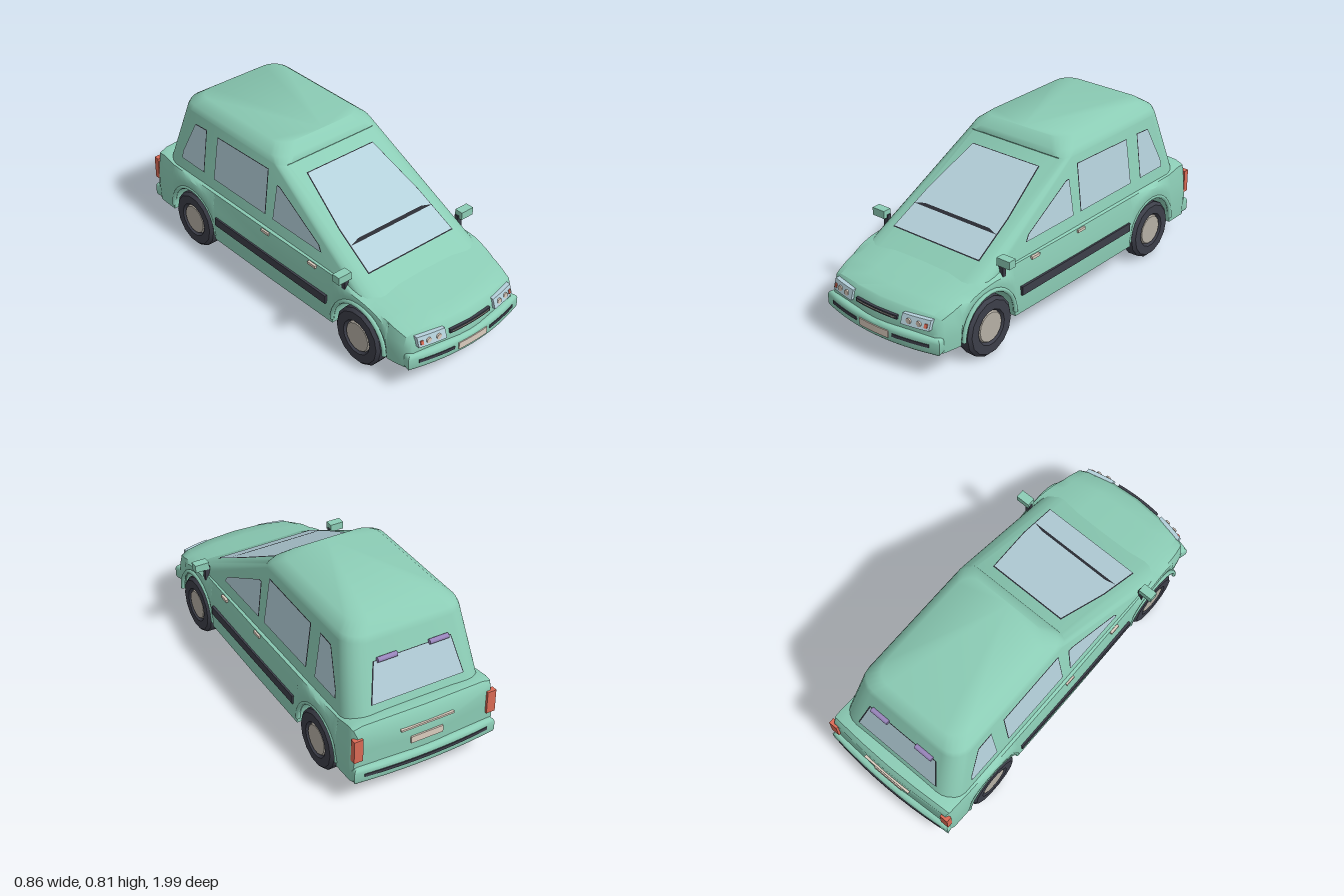
import * as THREE from 'three';
import { toCreasedNormals } from 'three/addons/utils/BufferGeometryUtils.js';

const mat = (name, color, side = THREE.FrontSide) => {
  const m = new THREE.MeshStandardMaterial({ color, side });
  m.name = name;
  return m;
};

// Piecewise linear lookup in a list of [key, value], keys ascending
function lookup(table, k) {
  if (k <= table[0][0]) return table[0][1];
  for (let i = 1; i < table.length; i++) {
    const [a, va] = table[i - 1], [b, vb] = table[i];
    if (k <= b) return va + (vb - va) * (k - a) / (b - a);
  }
  return table[table.length - 1][1];
}

// Skin closed rings of [x, y, z] points and cap both ends
function loft(rings, crease) {
  const n = rings[0].length, pos = rings.flat(2), idx = [];
  for (let i = 0; i < rings.length - 1; i++) {
    for (let j = 0; j < n; j++) {
      const a = i * n + j, b = i * n + (j + 1) % n;
      idx.push(a, b, b + n, a, b + n, a + n);
    }
  }
  [0, rings.length - 1].forEach((r, end) => {
    const c = pos.length / 3;
    for (let k = 0; k < 3; k++) {
      const v = rings[r].map(p => p[k]);
      pos.push((Math.min(...v) + Math.max(...v)) / 2);
    }
    // keep the cap centre level with the middle of a bowed end
    if (rings[r].every(p => p[2] > 0) || rings[r].every(p => p[2] < 0)) pos[c * 3 + 2] = rings[r][0][2];
    for (let j = 0; j < n; j++) {
      const a = r * n + j, b = r * n + (j + 1) % n;
      if (end) idx.push(c, a, b); else idx.push(c, b, a);
    }
  });
  const g = new THREE.BufferGeometry();
  g.setAttribute('position', new THREE.Float32BufferAttribute(pos, 3));
  g.setIndex(idx);
  return toCreasedNormals(g, crease);
}

const FRONT_BOW = 0.05, REAR_BOW = 0.015, WHEEL_Z = [0.62, -0.63], ARCH = 0.175;
const bow = (x, z) => {
  const t = THREE.MathUtils.clamp((Math.abs(z) - 0.8) / 0.15, 0, 1) * (x / 0.33) ** 2;
  return z > 0 ? z - FRONT_BOW * t : z + REAR_BOW * t;
};

// Lower body: sections along z, with the underside rising over the wheels
function bodyGeometry() {
  const width = [[-0.965, 0.37], [-0.94, 0.382], [-0.6, 0.388], [0, 0.388], [0.45, 0.383], [0.62, 0.378], [0.85, 0.36], [0.94, 0.348], [0.97, 0.325]];
  const top = [[-0.965, 0.395], [-0.945, 0.425], [-0.9, 0.428], [-0.8, 0.412], [0.5, 0.408], [0.62, 0.383], [0.935, 0.308], [0.96, 0.28], [0.97, 0.24]];
  const stations = [...new Set([...width, ...top].map(p => p[0]))]
    .filter(z => WHEEL_Z.every(c => Math.abs(z - c) > ARCH)).map(z => [z, 0.125]);
  for (const c of WHEEL_Z) {
    stations.push([c - ARCH - 0.002, 0.125], [c + ARCH + 0.002, 0.125]);
    for (let i = 0; i <= 12; i++) {
      const a = Math.PI * i / 12;
      stations.push([c + ARCH * Math.cos(a), 0.15 + ARCH * Math.sin(a)]);
    }
  }
  stations.sort((a, b) => a[0] - b[0]);
  return loft(stations.map(([z, yb]) => {
    const w = lookup(width, z), t = lookup(top, z), mix = f => yb + (t - yb) * f;
    const half = [[0, yb], [0.5 * w, yb], [0.985 * w, yb], [w, mix(0.35)], [0.99 * w, mix(0.65)],
      [0.955 * w, t - 0.018], [0.84 * w, t - 0.004], [0.45 * w, t + 0.003], [0, t + 0.004]];
    const other = half.slice(1, -1).reverse().map(([x, y]) => [-x, y]);
    return [...half, ...other].map(([x, y]) => [x, y, bow(x, z)]);
  }), 0.65);
}

// Cabin planes
const sideX = y => 0.355 - (y - 0.4) * 0.132;
const shieldZ = y => 0.62 - (y - 0.4) * 1.823;
const tailZ = y => -0.9 + (y - 0.4) * 0.324;

// Cabin and raised roof: rounded rectangles stacked upwards
function cabinGeometry() {
  const levels = [ // y, front z, rear z, half width, front radius, rear radius
    [0.35, shieldZ(0.35), tailZ(0.35), sideX(0.35), 0.1, 0.1],
    [0.74, shieldZ(0.74), tailZ(0.74), sideX(0.74), 0.05, 0.09],
    [0.745, 0.003, -0.788, 0.309, 0.06, 0.09],
    [0.772, -0.012, -0.777, 0.299, 0.08, 0.09],
    [0.812, -0.06, -0.72, 0.25, 0.08, 0.08]];
  return loft(levels.map(([y, zf, zr, w, rf, rr]) => {
    const ring = [];
    [[1, 1], [1, -1], [-1, -1], [-1, 1]].forEach(([sx, sz], q) => {
      const r = sz > 0 ? rf : rr, cz = sz > 0 ? zf - r : zr + r;
      for (let i = 0; i <= 5; i++) {
        const a = (q + i / 5) * Math.PI / 2;
        ring.push([sx * (w - r) + r * Math.sin(a), y, cz + r * Math.cos(a)]);
      }
    });
    return ring;
  }), 0.8);
}

// Flat polygon laid on a slanted plane through a mapping of (u, v)
function panel(points, map, scale, lift) {
  const cu = points.reduce((s, p) => s + p[0], 0) / points.length;
  const cv = points.reduce((s, p) => s + p[1], 0) / points.length;
  const g = new THREE.ShapeGeometry(new THREE.Shape(points.map(([u, v]) =>
    new THREE.Vector2(cu + (u - cu) * scale, cv + (v - cv) * scale))));
  const p = g.attributes.position;
  for (let i = 0; i < p.count; i++) p.setXYZ(i, ...map(p.getX(i), p.getY(i), lift));
  g.computeVertexNormals();
  return g;
}

// Box that follows the curve of a bumper or nose and may lean back
function bowedBox(w, h, d, x, y, z, amount, lean = 0) {
  const g = new THREE.BoxGeometry(w, h, d, 8, 1, 1).translate(x, y, z);
  const p = g.attributes.position;
  for (let i = 0; i < p.count; i++) {
    p.setZ(i, p.getZ(i) - amount * (p.getX(i) / 0.33) ** 2 - lean * (p.getY(i) - y));
  }
  g.computeVertexNormals();
  return g;
}

function bumperGeometry(amount, halfW) {
  const s = new THREE.Shape();
  s.moveTo(-halfW + 0.01, 0.88);
  s.lineTo(halfW - 0.01, 0.88);
  s.lineTo(halfW, 0.97 - amount);
  s.quadraticCurveTo(0, 0.97 + amount, -halfW, 0.97 - amount);
  const g = new THREE.ExtrudeGeometry(s, { depth: 0.045, bevelSize: 0.02, bevelThickness: 0.02, bevelSegments: 3, curveSegments: 12 });
  return toCreasedNormals(g.rotateX(Math.PI / 2).translate(0, 0.19, 0), 0.7);
}

export function createModel() {
  const car = new THREE.Group();
  car.name = 'car';
  const paint = mat('green paint', 0x8ccdb6), dark = mat('dark rubber', 0x3c3e49), black = mat('black underside', 0x26272d);
  const glass = mat('window glass', 0xb4d0da, THREE.DoubleSide), trim = mat('window trim', 0x2b2d34, THREE.DoubleSide);
  const cream = mat('cream plate', 0xdccdbf), silver = mat('silver', 0xb5afa5), red = mat('red lamp', 0xdb6a55), purple = mat('purple', 0x9a86bd);
  const add = (name, geo, material, parent = car) => {
    const m = new THREE.Mesh(geo, material);
    m.name = name;
    parent.add(m);
    return m;
  };
  const box = (w, h, d, x, y, z) => new THREE.BoxGeometry(w, h, d).translate(x, y, z);

  add('lowerBody', bodyGeometry(), paint);
  add('cabin', cabinGeometry(), paint);
  add('chassis', box(0.56, 0.05, 1.54, 0, 0.11, 0.03), black);
  add('frontBumper', bumperGeometry(FRONT_BOW, 0.33), paint);
  add('rearBumper', bumperGeometry(0.02, 0.355).rotateY(Math.PI), paint);

  // Windows with dark surrounds
  const window = (name, points, map, border = 1.025) => {
    add(name + 'Trim', panel(points, map, border, 0.002), trim);
    add(name, panel(points, map, 1, 0.005), glass);
  };
  const shieldMap = (x, y, l) => [x, y + 0.877 * l, shieldZ(y) + 0.48 * l];
  window('windshield', [[-0.265, 0.43], [0.265, 0.43], [0.25, 0.55], [0.205, 0.702], [-0.205, 0.702], [-0.25, 0.55]], shieldMap, 1.02);
  add('wiper', panel([[-0.26, 0.502], [0.26, 0.502], [0.2, 0.511], [-0.2, 0.511]], shieldMap, 1, 0.008), trim);
  window('rearWindow', [[-0.24, 0.47], [0.24, 0.47], [0.2, 0.655], [-0.2, 0.655]], (x, y, l) => [x, y + 0.31 * l, tailZ(y) - 0.95 * l]);

  for (const s of [1, -1]) {
    const side = s > 0 ? 'left' : 'right';
    const map = (z, y, l) => [s * (sideX(y) + l), y, z];
    window(side + 'FrontWindow', [[0.33, 0.46], [0.31, 0.49], [0.01, 0.645], [-0.012, 0.645], [-0.02, 0.46]], map, 1.02);
    window(side + 'MiddleWindow', [[-0.08, 0.46], [-0.48, 0.46], [-0.475, 0.69], [-0.085, 0.7]], map, 1.015);
    window(side + 'QuarterWindow', [[-0.565, 0.46], [-0.745, 0.46], [-0.74, 0.5], [-0.655, 0.685], [-0.565, 0.69]], map, 1.02);

    // Side fittings
    add(side + 'Molding', box(0.02, 0.045, 0.84, s * 0.385, 0.248, -0.01), dark);
    for (const z of [0.295, -0.05]) add(side + 'DoorHandle', box(0.014, 0.014, 0.055, s * 0.374, 0.38, z), cream);
    add(side + 'Mirror', box(0.075, 0.04, 0.045, s * 0.392, 0.45, 0.525), paint);
    add(side + 'MirrorStalk', box(0.028, 0.09, 0.022, s * 0.362, 0.4, 0.517), dark);

    // Lamps
    add(side + 'Headlight', bowedBox(0.145, 0.048, 0.022, s * 0.228, 0.269, 0.966, FRONT_BOW, 0.35), glass);
    for (const x of [0.195, 0.247]) {
      const lens = new THREE.CylinderGeometry(0.014, 0.014, 0.008, 12).rotateX(Math.PI / 2);
      add(side + 'Lens', lens, cream).position.set(s * x, 0.267, 0.979 - FRONT_BOW * (x / 0.33) ** 2);
    }
    add(side + 'TurnSignal', bowedBox(0.014, 0.018, 0.008, s * 0.283, 0.266, 0.979, FRONT_BOW, 0.35), red);
    add(side + 'TailLight', box(0.046, 0.12, 0.03, s * 0.354, 0.31, -0.946), red);
    add(side + 'BumperStrip', bowedBox(0.19, 0.016, 0.008, s * 0.208, 0.173, 0.99, FRONT_BOW), dark);
    add(side + 'RearHinge', new THREE.CylinderGeometry(0.013, 0.013, 0.1, 10).rotateZ(Math.PI / 2), purple)
      .position.set(s * 0.135, 0.662, -0.825);

    // Wheels and arch lips
    WHEEL_Z.forEach((z, i) => {
      const wheel = new THREE.Group();
      wheel.name = side + (i ? 'Rear' : 'Front') + 'Wheel';
      const profile = [[0, -0.0425], [0.135, -0.0425], [0.15, -0.028], [0.15, 0.028], [0.135, 0.0425], [0.09, 0.0425], [0.08, 0.028]];
      const tyre = new THREE.LatheGeometry(profile.map(p => new THREE.Vector2(...p)), 14);
      add('tyre', toCreasedNormals(tyre, 0.5), dark, wheel);
      add('hub', new THREE.CylinderGeometry(0.074, 0.082, 0.014, 14).translate(0, 0.031, 0), silver, wheel);
      wheel.rotation.z = -s * Math.PI / 2;
      wheel.position.set(s * 0.343, 0.15, z);
      car.add(wheel);
      const lip = new THREE.TorusGeometry(ARCH + 0.004, 0.011, 6, 16, Math.PI).rotateY(Math.PI / 2);
      add(side + 'ArchLip', lip, paint).position.set(s * 0.377, 0.15, z);
    });
  }

  // Centre details, front and rear
  add('grille', bowedBox(0.255, 0.02, 0.02, 0, 0.261, 0.966, FRONT_BOW), dark);
  add('grilleBar', bowedBox(0.235, 0.004, 0.006, 0, 0.261, 0.977, FRONT_BOW), silver);
  add('frontPlate', bowedBox(0.18, 0.036, 0.008, 0, 0.17, 0.991, FRONT_BOW), cream);
  add('rearBumperStrip', bowedBox(0.66, 0.016, 0.014, 0, 0.173, -0.989, -0.02), dark);
  add('rearPlate', box(0.17, 0.036, 0.008, 0, 0.272, -0.968), cream);
  add('tailgateHandle', box(0.28, 0.01, 0.014, 0, 0.345, -0.967), cream);
  return car;
}
